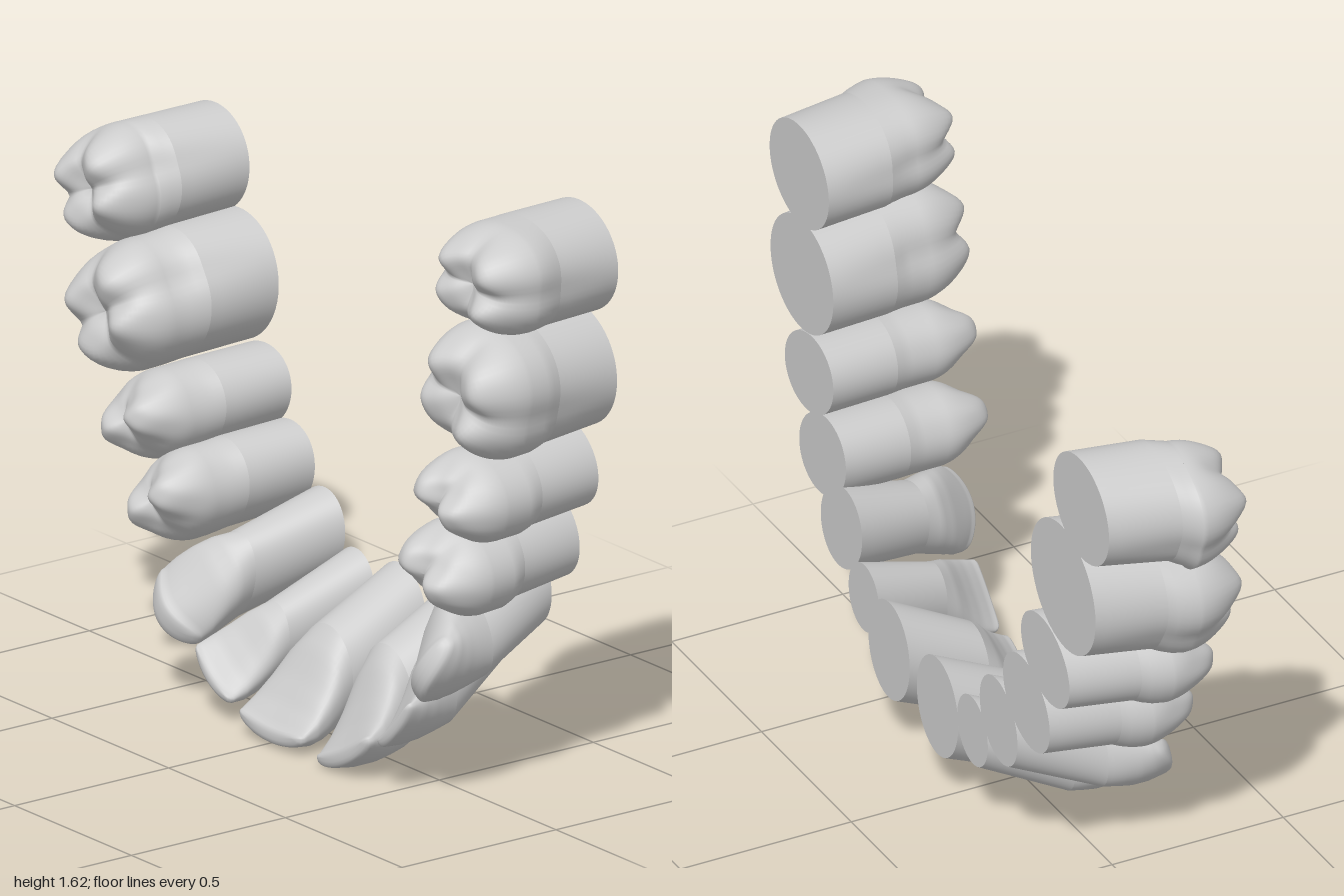
import * as THREE from 'three';

const SEG = 56, BACK = -0.24;
const lerp = THREE.MathUtils.lerp;
const material = new THREE.MeshStandardMaterial({ color: 0xcccccc });

// name, kind, outward angle, tip z, crown [cx, cy, halfX, halfY], root end [cx, cy, halfX, halfY]
const TEETH = [
  ['rightSecondMolar', 'molar', 205, 0.165, [-0.84, 1.285, 0.16, 0.165], [-0.785, 1.317, 0.155, 0.148]],
  ['rightFirstMolar', 'molar', 212, 0.2, [-0.733, 0.985, 0.182, 0.185], [-0.685, 1.025, 0.18, 0.18]],
  ['rightSecondPremolar', 'premolar', 208, 0.2, [-0.622, 0.718, 0.142, 0.128], [-0.585, 0.748, 0.135, 0.118]],
  ['rightFirstPremolar', 'premolar', 213, 0.2, [-0.515, 0.528, 0.135, 0.133], [-0.48, 0.56, 0.13, 0.125]],
  ['rightCanine', 'canine', 232, 0.195, [-0.388, 0.323, 0.118, 0.143], [-0.325, 0.42, 0.105, 0.12]],
  ['rightLateralIncisor', 'incisor', 238, 0.175, [-0.222, 0.193, 0.098, 0.123], [-0.18, 0.31, 0.085, 0.1]],
  ['rightCentralIncisor', 'incisor', 268, 0.195, [0.018, 0.157, 0.138, 0.147], [0.015, 0.277, 0.115, 0.145]],
  ['leftCentralIncisor', 'incisor', 294, 0.195, [0.29, 0.172, 0.135, 0.157], [0.285, 0.3, 0.115, 0.145]],
  ['leftLateralIncisor', 'incisor', 309, 0.19, [0.5, 0.27, 0.1, 0.13], [0.425, 0.383, 0.085, 0.1]],
  ['leftCanine', 'canine', 322, 0.215, [0.63, 0.445, 0.125, 0.137], [0.55, 0.53, 0.115, 0.125]],
  ['leftFirstPremolar', 'premolar', 335, 0.235, [0.703, 0.667, 0.143, 0.123], [0.655, 0.692, 0.13, 0.122]],
  ['leftSecondPremolar', 'premolar', 340, 0.24, [0.775, 0.883, 0.14, 0.118], [0.73, 0.9, 0.135, 0.118]],
  ['leftFirstMolar', 'molar', 345, 0.22, [0.813, 1.178, 0.178, 0.178], [0.77, 1.178, 0.175, 0.165]],
  ['leftSecondMolar', 'molar', 355, 0.19, [0.828, 1.482, 0.168, 0.143], [0.785, 1.475, 0.165, 0.148]],
];

// Cusp positions as (outward v, sideways u), spread, and width-to-depth ratio
const KINDS = {
  molar: { cusps: [[0.5, 0.42], [0.48, -0.45], [-0.48, 0.42], [-0.5, -0.36]], spread: 0.3, aspect: 0.92, power: 2.5, lobe: 0.05 },
  premolar: { cusps: [[0.48, 0], [-0.48, 0.04]], spread: 0.34, aspect: 0.8, power: 2.2, lobe: 0 },
  canine: { aspect: 0.85, power: 2.4, drop: 0.05, lo: [-1, -0.8, -0.45, -0.02, 0.4] },
  incisor: { aspect: 0.95, power: 2.6, drop: 0.008, lo: [-1, -0.62, -0.12, 0.3, 0.62] },
};

// Rounded outline point [v, u] at angle t
function outline(t, power) {
  const c = Math.cos(t), s = Math.sin(t);
  const r = (Math.abs(c) ** power + Math.abs(s) ** power) ** (-1 / power);
  return [c * r, s * r];
}

// Map from tooth space (v outward, u sideways) to x, y, fitted to a box
function fitted([cx, cy, hx, hy], degrees, aspect, power) {
  const a = THREE.MathUtils.degToRad(degrees), ca = Math.cos(a), sa = Math.sin(a);
  const turn = (v, u) => [v * ca - u * aspect * sa, v * sa + u * aspect * ca];
  let mx = 0, my = 0;
  for (let j = 0; j < SEG; j++) {
    const [x, y] = turn(...outline((j / SEG) * 2 * Math.PI, power));
    mx = Math.max(mx, Math.abs(x));
    my = Math.max(my, Math.abs(y));
  }
  return (v, u) => {
    const [x, y] = turn(v, u);
    return [cx + (x * hx) / mx, cy + (y * hy) / my];
  };
}

const ring = (fn) => Array.from({ length: SEG }, (_, j) => fn((j / SEG) * 2 * Math.PI));

// Smooth skin over closed rings of points
function skin(name, rings) {
  const index = [];
  for (let i = 0; i < rings.length - 1; i++) {
    for (let j = 0; j < SEG; j++) {
      const k = (j + 1) % SEG;
      const a = i * SEG + j, b = i * SEG + k, c = a + SEG, d = b + SEG;
      index.push(a, b, d, a, d, c);
    }
  }
  const g = new THREE.BufferGeometry();
  g.setAttribute('position', new THREE.Float32BufferAttribute(rings.flat(2), 3));
  g.setIndex(index);
  g.computeVertexNormals();
  const mesh = new THREE.Mesh(g, material);
  mesh.name = name;
  return mesh;
}

// Back teeth: bulging wall closed by a cusped, fissured chewing surface
function chewingCrown(kind, map, rootMap, top) {
  const edge = top - 0.155, rings = [];
  const side = (t, r) => {
    const groove = Math.exp(-((Math.sin(t) / 0.25) ** 2));
    return outline(t, kind.power).map((q) => q * r * (1 - kind.lobe * groove));
  };
  // Neck to widest line
  for (const [f, z] of [[0.5, -0.04], [0.72, -0.015], [0.9, 0.012], [1, edge]]) {
    const zz = Math.min(z, edge);
    rings.push(ring((t) => {
      const p = map(...side(t, 1)), q = rootMap(...outline(t, 2));
      return [lerp(q[0], p[0], f), lerp(q[1], p[1], f), zz];
    }));
  }
  // Chewing surface
  const N = 22;
  for (let i = 1; i <= N; i++) {
    const r = Math.cos((i / N) * Math.PI / 2);
    rings.push(ring((t) => {
      const [v, u] = side(t, r);
      const cusp = Math.max(...kind.cusps.map(([cv, cu]) =>
        Math.exp(-((v - cv) ** 2 + (u - cu) ** 2) / kind.spread)));
      const dome = Math.sqrt(Math.max(0, 1 - r ** 4));
      const wrinkle = 0.005 * Math.sin(9 * u + 4 * v) * Math.sin(8 * v - 2 * u) * dome;
      return [...map(v, u), edge + (top - edge) * dome * (0.52 + 0.52 * cusp) + wrinkle];
    }));
  }
  return rings;
}

// Front teeth: hollowed inner face narrowing to a thin biting edge
function cuttingCrown(kind, map, top) {
  const at = (list, s) => {
    const x = s * (list.length - 1), i = Math.min(Math.floor(x), list.length - 2);
    return lerp(list[i], list[i + 1], x - i);
  };
  const hi = [0.88, 0.95, 1, 1, 0.95], width = [0.82, 0.9, 0.96, 1, 0.98];
  const rings = [], N = 16;
  const section = (s, shrink, lift) => ring((t) => {
    const [v, u] = outline(t, lerp(2, 3, s));
    const lo = at(kind.lo, s), h = at(hi, s);
    const vv = (lo + h) / 2 + (v * shrink * (h - lo)) / 2 - 0.12 * s * u * u;
    const uu = u * at(width, s) * lerp(1, shrink, 0.25);
    return [...map(vv, uu), s * (top - 0.015) + lift - kind.drop * s * s * uu * uu];
  });
  for (let i = 0; i <= N; i++) rings.push(section(i / N, 1, 0));
  for (const [k, l] of [[0.9, 0.008], [0.65, 0.013], [0.3, 0.015], [0, 0.015]]) rings.push(section(1, k, l));
  return rings;
}

function makeTooth([name, type, angle, top, crownBox, rootBox]) {
  const kind = KINDS[type], tooth = new THREE.Group();
  tooth.name = name;
  const crownMap = fitted(crownBox, angle, kind.aspect, kind.power);
  const rootMap = fitted(rootBox, angle, kind.aspect, 2);
  const crown = kind.cusps
    ? chewingCrown(kind, crownMap, rootMap, top)
    : cuttingCrown(kind, crownMap, top);

  // Root runs from the flat back to the neck of the crown
  const end = ring((t) => [...rootMap(...outline(t, 2)), BACK]);
  const rootRings = [];
  for (let i = 0; i <= 6; i++) {
    const f = i / 6;
    rootRings.push(end.map((p, j) => p.map((q, k) => lerp(q, crown[0][j][k], f))));
  }
  const centre = end.map(() => [rootBox[0], rootBox[1], BACK]);
  tooth.add(skin('crown', crown), skin('root', rootRings), skin('rootEnd', [centre, end]));
  return tooth;
}

export function createModel() {
  const arch = new THREE.Group();
  arch.name = 'dentalArch';
  for (const spec of TEETH) arch.add(makeTooth(spec));
  return arch;
}
